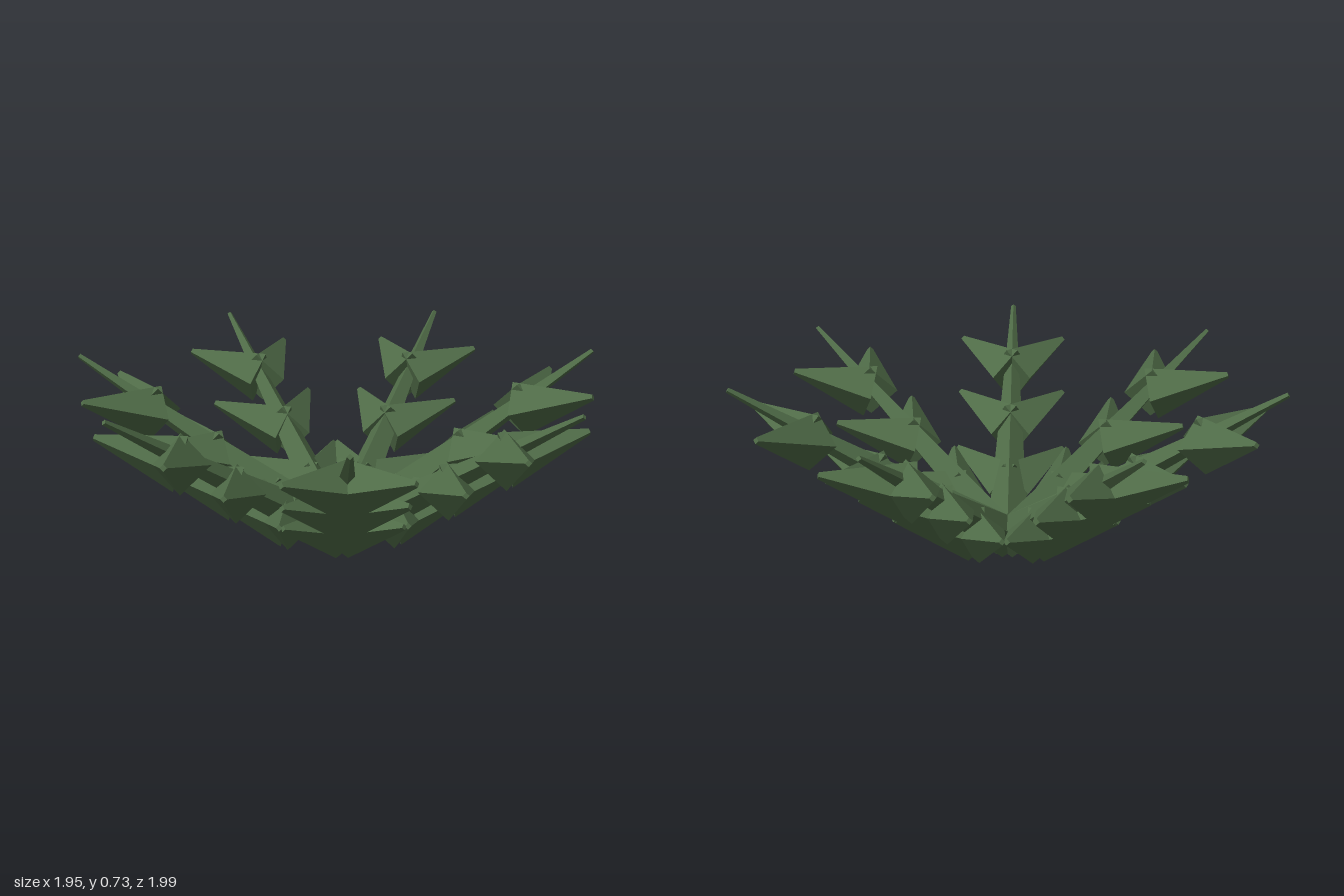
import * as THREE from 'three';

const FRONDS = 7;
const CENTRE_X = -0.05;
const green = new THREE.MeshStandardMaterial({ color: 0x4f6b47, flatShading: true });

// Four-sided spike from a to b with one ridge turned upwards
function spike(name, a, b, baseRadius, tipRadius) {
  const axis = b.clone().sub(a);
  const length = axis.length();
  axis.normalize();
  const up = new THREE.Vector3(0, 1, 0).addScaledVector(axis, -axis.y).normalize();
  const side = new THREE.Vector3().crossVectors(axis, up);
  const geometry = new THREE.CylinderGeometry(tipRadius, baseRadius, length, 4);
  geometry.translate(0, length / 2, 0);
  geometry.applyMatrix4(new THREE.Matrix4().makeBasis(side, axis, up).setPosition(a));
  const mesh = new THREE.Mesh(geometry, green);
  mesh.name = name;
  return mesh;
}

// One frond pointing along +x: a tapering stem and three pairs of leaflets
function createFrond() {
  const frond = new THREE.Group();
  frond.name = 'frond';
  frond.add(spike('stem', new THREE.Vector3(0, 0.072, 0), new THREE.Vector3(1.015, 0.722, 0), 0.08, 0.01));
  for (let tier = 0; tier < 3; tier++) {
    const r = 0.25 + tier * 0.235;
    const y = 0.18 + tier * 0.165;
    for (const s of [-1, 1]) {
      frond.add(spike(
        s > 0 ? 'rightLeaflet' : 'leftLeaflet',
        new THREE.Vector3(r, y, 0),
        new THREE.Vector3(r + 0.21, y + 0.09, s * 0.213),
        0.108, 0.012
      ));
    }
  }
  return frond;
}

export function createModel() {
  const plant = new THREE.Group();
  plant.name = 'fern';
  // Fronds fan out evenly from a common root
  for (let i = 0; i < FRONDS; i++) {
    const frond = createFrond();
    frond.rotation.y = (i / FRONDS) * Math.PI * 2;
    frond.position.x = CENTRE_X;
    plant.add(frond);
  }
  return plant;
}
